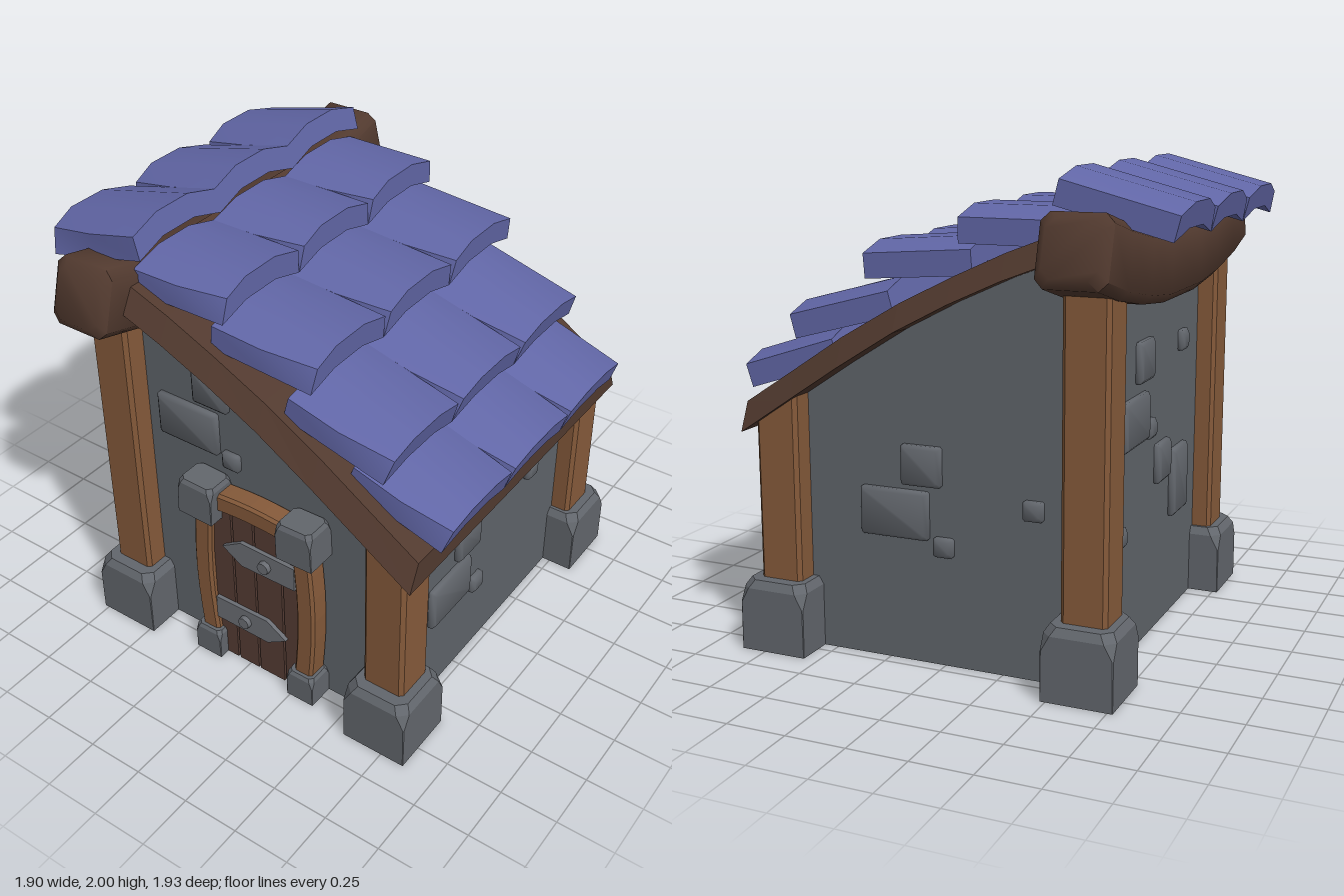
import * as THREE from 'three';
import { toCreasedNormals } from 'three/addons/utils/BufferGeometryUtils.js';

const mat = (name, color) => new THREE.MeshStandardMaterial({ name, color });

// Skin a list of equal-length rings; rings run counter-clockwise seen from the far end.
function loft(rings, { start = true, skip = () => false } = {}) {
  const pos = [], n = rings[0].length;
  const quad = (a, b, c, d) => { for (const p of [a, b, c, a, c, d]) pos.push(...p); };
  for (let i = 0; i < rings.length - 1; i++) {
    for (let j = 0; j < n; j++) {
      const k = (j + 1) % n;
      if (!skip(j)) quad(rings[i][j], rings[i][k], rings[i + 1][k], rings[i + 1][j]);
    }
  }
  const last = rings[rings.length - 1], first = rings[0];
  for (let j = 0; j < n / 2 - 1; j++) {
    const q = [j, j + 1, n - 2 - j, n - 1 - j];
    quad(...q.map(k => last[k]));
    if (start) quad(...q.reverse().map(k => first[k]));
  }
  const g = new THREE.BufferGeometry();
  g.setAttribute('position', new THREE.Float32BufferAttribute(pos, 3));
  g.computeVertexNormals();
  return g;
}

// Rectangle with cut corners, as an 8-point ring
const oct = (hx, hy, c) => [[c - hx, -hy], [hx - c, -hy], [hx, c - hy], [hx, hy - c],
  [hx - c, hy], [c - hx, hy], [-hx, hy - c], [-hx, c - hy]];
const at = (ring, z, dx = 0) => ring.map(([x, y]) => [x + dx, y, z]);
const upright = g => g.rotateX(-Math.PI / 2);

// Rough block: square foot, corners cut away near the top
function blockGeometry(w, h, d) {
  const m = Math.min(w, d), x = w / 2, z = d / 2;
  return upright(loft([
    at(oct(x, z, 0.002), 0), at(oct(x, z, 0.004), h * 0.68),
    at(oct(x, z, m * 0.13), h * 0.89), at(oct(x - m * 0.07, z - m * 0.07, m * 0.13), h),
  ]));
}

// Upright bar bowed towards -x
function bowedBar(w, h, d, bow) {
  const rings = [];
  for (let i = 0; i <= 6; i++) {
    const t = i / 6;
    rings.push(at(oct(w / 2, d / 2, 0.012), (t - 0.5) * h, -bow * Math.sin(Math.PI * t)));
  }
  return upright(loft(rings));
}

// Arched tile: crown line from (x0, y0) to (x1, y1), half widths w0 and w1,
// cut0 and cut1 trim the front top corner at each end
function tileGeometry(x0, y0, x1, y1, w0, w1, cut0, cut1) {
  const len = Math.hypot(x1 - x0, y1 - y0), nx = (y0 - y1) / len, ny = (x1 - x0) / len;
  const arch = [[-1, 0.042], [-0.38, 0], [0.38, 0], [1, 0.042]];
  const ring = (u, cut) => {
    const x = x0 + (x1 - x0) * u, y = y0 + (y1 - y0) * u, w = w0 + (w1 - w0) * u;
    const pt = (t, drop, trim) => [x - nx * drop, y - ny * drop, -t * w - trim];
    return [...arch.map(([t, d]) => pt(t, d + 0.1, 0)),
      ...arch.slice().reverse().map(([t, d]) => pt(t, d, t === -1 ? cut : 0))];
  };
  return toCreasedNormals(loft([ring(0, cut0), ring(0.5, 0), ring(1, cut1)]), 0.5);
}

export function createModel() {
  const model = new THREE.Group();
  model.name = 'cottage';
  const M = {
    wall: mat('wall grey', 0x5f646a), stone: mat('stone grey', 0x62666c),
    wood: mat('post wood', 0x855a3a), dark: mat('dark beam wood', 0x523a2f),
    door: mat('door wood', 0x553c34), gap: mat('door gap', 0x33241f),
    iron: mat('hinge iron', 0x6b6e74), tile: mat('roof tile blue', 0x6166a6),
  };
  M.wall.side = THREE.DoubleSide;
  const add = (name, geo, m, x = 0, y = 0, z = 0, parent = model) => {
    const mesh = new THREE.Mesh(geo, m);
    mesh.name = name;
    mesh.position.set(x, y, z);
    parent.add(mesh);
    return mesh;
  };

  // Curve of the roof: x, underside, top
  const roof = [[-0.56, 1.69, 1.79], [-0.3, 1.59, 1.69], [-0.08, 1.49, 1.59], [0.15, 1.37, 1.475],
    [0.4, 1.215, 1.33], [0.62, 1.07, 1.185], [0.85, 0.917, 1.035]];

  // Walls: one shell between the post centres, open at the bottom
  const W = 0.695, left = 0.715, right = -0.635;
  const tops = [[right, 1.6], ...roof.slice(0, 6).map(([x, b]) => [x, b + 0.03]), [left, 1.04]];
  const profile = [...tops.map(([x]) => [x, 0]), ...tops.slice().reverse()];
  add('walls', loft([at(profile, -W), at(profile, W)], { skip: j => j < tops.length - 1 }), M.wall);

  // Roof board with sloping sides
  add('roofBoard', loft(roof.map(([x, b, t]) =>
    [[x, b, 0.84], [x, b, -0.825], [x, t, -0.772], [x, t, 0.785]])), M.dark);

  // Sagging ridge beam with rounded ends
  const beam = [];
  for (const [z, s] of [[-0.935, 0.108], [-0.905, 0.14], [-0.7, 0.143], [-0.45, 0.143], [-0.2, 0.143],
    [0.2, 0.143], [0.45, 0.143], [0.7, 0.143], [0.905, 0.14], [0.935, 0.108]]) {
    const a = Math.atan(0.32 * z), y = 1.592 + 0.16 * z * z;
    beam.push(oct(s, s, 0.035).map(([u, v]) => [u - 0.62, y + v * Math.cos(a), z - v * Math.sin(a)]));
  }
  add('ridgeBeam', toCreasedNormals(loft(beam), 0.9), M.dark);

  // Corner posts and their foot stones
  const post = oct(0.095, 0.095, 0.016);
  for (const s of [1, -1]) {
    add('tallPost', upright(loft([at(post, 0.2), at(post, 1.62)])), M.wood, -0.625, 0, s * 0.7);
    add('shortPost', upright(loft([at(post, 0.2), post.map(([x, y]) => [x, y, 1.055 - 0.65 * x])])),
      M.wood, 0.705, 0, s * 0.7);
    for (const x of [-0.625, 0.71]) add('footStone', blockGeometry(0.295, 0.3, 0.295), M.stone, x, 0, s * 0.717);
  }

  // Roof tiles: x0, y0, x1, y1, half widths, middle z, corner cuts
  const rows = [
    [-0.95, 1.88, -0.485, 2.0, 0.238, 0.241, 0.03, 0.035, 0],
    [-0.5, 1.85, -0.07, 1.85, 0.241, 0.238, 0.02, 0, 0.035],
    [-0.12, 1.73, 0.345, 1.695, 0.241, 0.238, 0.02, 0, 0.035],
    [0.25, 1.55, 0.7, 1.43, 0.241, 0.238, 0.03, 0, 0.035],
    [0.53, 1.335, 0.948, 1.2, 0.236, 0.228, 0.035, 0, 0.03]];
  rows.forEach(([x0, y0, x1, y1, w0, w1, zc, cut0, cut1], r) => {
    const pitch = r === 4 ? 0.455 : 0.48;
    for (const k of [-1, 0, 1]) {
      add('roofTile', tileGeometry(x0, y0, x1, y1, w0, w1, cut0, cut1), M.tile, 0, 0, zc + k * pitch);
    }
  });

  // Raised wall stones per wall: [across, up, width, height]
  const stones = [
    { name: 'front', angle: 0, off: W,
      list: [[-0.185, 1.35, 0.175, 0.165], [-0.31, 1.138, 0.305, 0.2], [-0.095, 1.035, 0.085, 0.08]] },
    { name: 'leftSide', angle: Math.PI / 2, off: left,
      list: [[-0.195, 0.685, 0.175, 0.165], [-0.325, 0.478, 0.3, 0.2], [-0.108, 0.37, 0.085, 0.08],
        [0.332, 0.7, 0.085, 0.08]] },
    { name: 'back', angle: Math.PI, off: W,
      list: [[-0.095, 0.825, 0.175, 0.165], [-0.215, 0.62, 0.3, 0.2], [0, 0.5, 0.085, 0.08],
        [0.385, 0.695, 0.085, 0.08]] },
    { name: 'rightSide', angle: -Math.PI / 2, off: -right,
      list: [[-0.165, 1.21, 0.175, 0.17], [-0.28, 0.98, 0.3, 0.2], [-0.075, 0.91, 0.085, 0.08],
        [0.32, 0.6, 0.2, 0.3], [0.09, 0.735, 0.165, 0.17], [0.355, 1.215, 0.085, 0.09], [-0.435, 0.54, 0.085, 0.08]] },
  ];
  for (const { name, angle, off, list } of stones) {
    const g = new THREE.Group();
    g.name = name + 'WallStones';
    g.rotation.y = angle;
    model.add(g);
    for (const [u, v, w, h] of list) {
      add('wallStone', toCreasedNormals(loft([at(oct(w / 2, h / 2, 0.008), 0), at(oct(w / 2, h / 2, 0.008), 0.018),
        at(oct(w / 2 - 0.014, h / 2 - 0.014, 0.008), 0.03)], { start: false }), 1.2), M.stone, u, v, off, g);
    }
  }

  // Door, centred on x = 0.05
  const door = new THREE.Group();
  door.name = 'door';
  door.position.x = 0.053;
  model.add(door);
  add('doorGaps', new THREE.PlaneGeometry(0.44, 0.83), M.gap, 0, 0.415, 0.75, door);
  for (const [a, b] of [[-0.22, -0.122], [-0.112, -0.008], [0.002, 0.132], [0.142, 0.22]]) {
    add('doorPlank', new THREE.BoxGeometry(b - a, 0.83, 0.065), M.door, (a + b) / 2, 0.415, 0.7325, door);
  }

  // Door frame with stone corners
  for (const s of [-1, 1]) {
    const jamb = add('doorJamb', bowedBar(0.09, 0.7, 0.1, 0.022), M.wood, s * 0.246, 0.46, 0.742, door);
    if (s > 0) jamb.rotation.y = Math.PI;
    add('doorFootStone', blockGeometry(0.135, 0.14, 0.125), M.stone, s * 0.248, 0, 0.7525, door);
    const top = add('doorTopStone', blockGeometry(0.175, 0.175, 0.145), M.stone, s * 0.252, 0.778, 0.7625, door);
    top.rotation.z = s * 0.03;
  }
  const lintel = add('doorLintel', bowedBar(0.09, 0.38, 0.1, 0.012), M.wood, 0, 0.864, 0.742, door);
  lintel.rotation.z = -Math.PI / 2;

  // Pointed hinge straps with round bolts; the lower one is turned around
  const strap = new THREE.Shape([[-0.158, 0], [-0.06, -0.062], [0.212, -0.058], [0.212, 0.058], [-0.06, 0.062]]
    .map(p => new THREE.Vector2(...p)));
  const strapGeo = new THREE.ExtrudeGeometry(strap, { depth: 0.02, bevelEnabled: false });
  const boltGeo = new THREE.CylinderGeometry(0.028, 0.03, 0.022, 8).rotateX(Math.PI / 2);
  for (const [y, turn, bolt] of [[0.638, 0, 0.066], [0.265, Math.PI, 0.053]]) {
    const hinge = new THREE.Group();
    hinge.name = 'hinge';
    hinge.position.set(0, y, 0.763);
    hinge.rotation.z = turn;
    door.add(hinge);
    add('hingeStrap', strapGeo, M.iron, 0, 0, 0, hinge);
    add('hingeBolt', boltGeo, M.iron, bolt, 0, 0.03, hinge);
  }
  return model;
}
